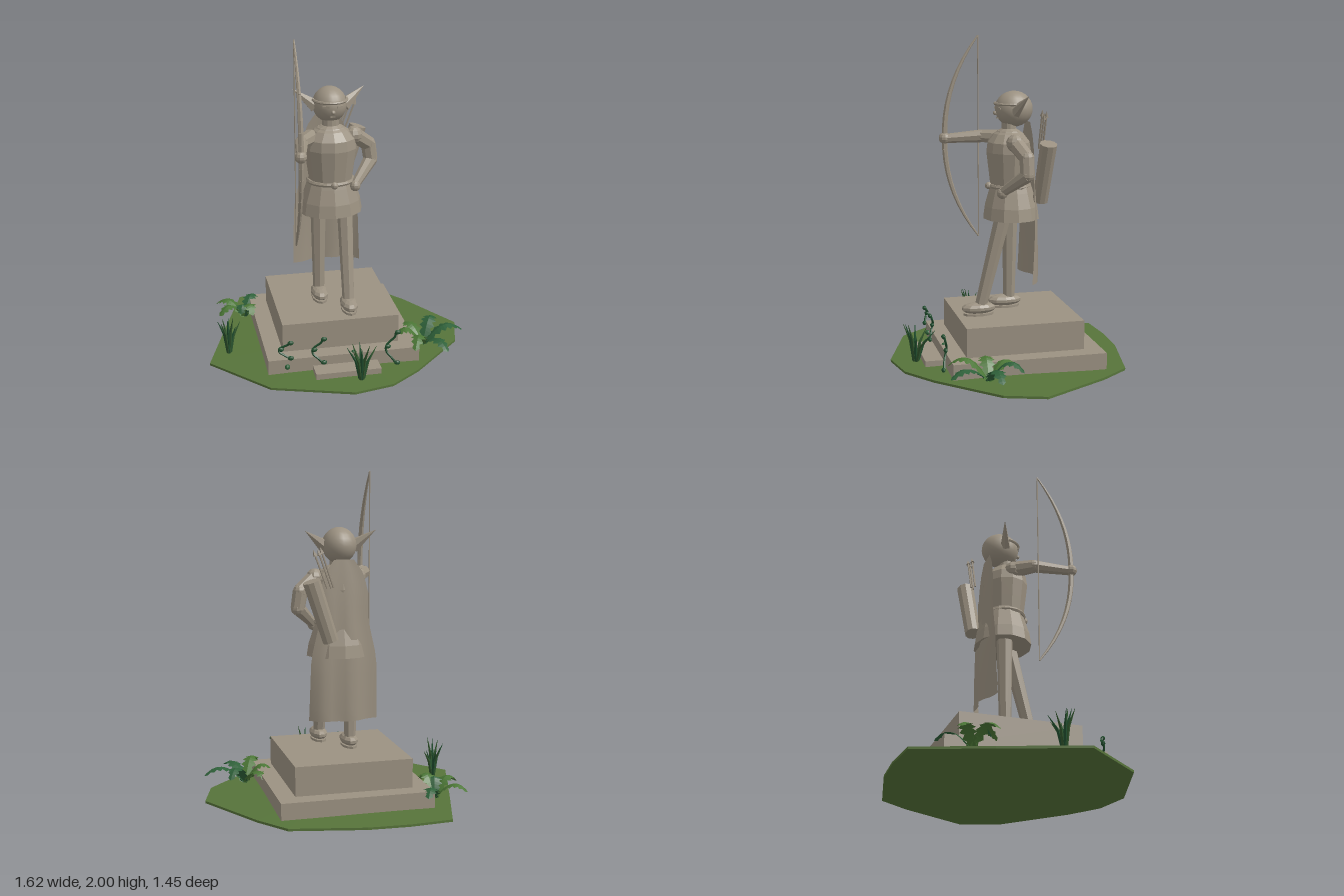
import * as THREE from 'three';

const V = (x, y, z) => new THREE.Vector3(x, y, z);

export function createModel() {
  const model = new THREE.Group();
  const mat = (name, color, o = {}) => Object.assign(new THREE.MeshStandardMaterial({ color, ...o }), { name });
  const stone = mat('stone', 0x9b9181, { flatShading: true });
  const smoothStone = stone.clone();
  Object.assign(smoothStone, { flatShading: false, side: THREE.DoubleSide, name: 'smooth stone' });
  const turf = mat('turf', 0x56733a, { flatShading: true });
  const leaf = mat('leaf green', 0x4a7535, { flatShading: true, side: THREE.DoubleSide });
  const darkLeaf = mat('dark leaf green', 0x2e6039, { flatShading: true, side: THREE.DoubleSide });
  const blade = mat('blade green', 0x31552d, { flatShading: true });
  const vineGreen = mat('vine green', 0x214f2f, { flatShading: true });

  const add = (name, geo, m, x = 0, y = 0, z = 0, parent = model) => {
    const mesh = new THREE.Mesh(geo, m);
    mesh.name = name;
    mesh.position.set(x, y, z);
    parent.add(mesh);
    return mesh;
  };
  const group = (name) => {
    const g = new THREE.Group();
    g.name = name;
    model.add(g);
    return g;
  };
  const ball = (name, r, m, x, y, z, parent) =>
    add(name, new THREE.SphereGeometry(r, 10, 7), m, x, y, z, parent);
  // Tapered chain of cylinders through points, with optional rounded joints
  const chain = (name, pts, radii, m, sides = 8, joints = true, parent = group(name)) => {
    for (let i = 0; i < pts.length - 1; i++) {
      const d = pts[i + 1].clone().sub(pts[i]);
      const c = add(name, new THREE.CylinderGeometry(radii[i + 1], radii[i], d.length(), sides), m, 0, 0, 0, parent);
      c.position.copy(pts[i]).addScaledVector(d, 0.5);
      c.quaternion.setFromUnitVectors(V(0, 1, 0), d.normalize());
      if (joints && i > 0) ball(name + 'Joint', radii[i] * 0.98, m, ...pts[i].toArray(), parent);
    }
    return parent;
  };
  const lathe = (name, profile, x, z, depth, sides = 12, m = stone) => {
    const g = new THREE.LatheGeometry(profile.map(([r, y]) => new THREE.Vector2(r, y)), sides);
    const mesh = add(name, g, m, x, 0, z);
    mesh.scale.z = depth;
    return mesh;
  };

  // Turf island
  const outline = [[-0.52, -0.71], [-0.26, -0.73], [-0.01, -0.72], [0.43, -0.63], [0.57, -0.45], [0.81, -0.04],
    [0.74, 0.2], [0.57, 0.37], [0.41, 0.53], [0.22, 0.67], [-0.02, 0.72], [-0.49, 0.57], [-0.81, 0.2], [-0.66, -0.28]];
  const tri = [];
  outline.forEach(([x, z], i) => {
    const [u, w] = outline[(i + 1) % outline.length];
    const ya = 0.046 + z * 0.012, yb = 0.046 + w * 0.012, t = 0.014;
    tri.push(0, 0.068, 0, u, yb, w, x, ya, z);
    tri.push(0, 0, 0, x, ya - t, z, u, yb - t, w);
    tri.push(x, ya, z, u, yb, w, u, yb - t, w, x, ya, z, u, yb - t, w, x, ya - t, z);
  });
  const turfGeo = new THREE.BufferGeometry();
  turfGeo.setAttribute('position', new THREE.Float32BufferAttribute(tri, 3));
  turfGeo.computeVertexNormals();
  add('turf', turfGeo, turf);

  // Stepped plinth
  add('plinthBase', new THREE.BoxGeometry(0.925, 0.1, 0.93), stone, -0.02, 0.095, -0.043);
  add('plinthTop', new THREE.BoxGeometry(0.715, 0.18, 0.72), stone, -0.022, 0.232, -0.04);
  add('frontStep', new THREE.BoxGeometry(0.395, 0.04, 0.11), stone, -0.018, 0.072, 0.485);

  // Legs and boots
  const cx = -0.018;
  chain('backLeg', [V(-0.09, 0.37, -0.04), V(-0.09, 0.95, -0.045)], [0.036, 0.05], stone, 7);
  chain('frontLeg', [V(0.055, 0.37, 0.175), V(0.06, 0.95, 0.03)], [0.037, 0.05], stone, 7);
  for (const [x, z] of [[-0.092, -0.012], [0.054, 0.187]]) {
    const boot = ball('boot', 1, stone, x, 0.365, z);
    boot.scale.set(0.054, 0.037, 0.108);
    add('sole', new THREE.CylinderGeometry(0.85, 0.85, 0.016, 10), stone, x, 0.328, z).scale.set(0.055, 1, 0.11);
  }

  // Tunic, belt and mantle
  const tunic = lathe('tunicSkirt', [[0.001, 0.93], [0.197, 0.905], [0.185, 0.98], [0.155, 1.07], [0.135, 1.125]], cx, -0.035, 0.88, 12, smoothStone);
  tunic.material = stone.clone();
  Object.assign(tunic.material, { side: THREE.DoubleSide, name: 'stone cloth' });
  lathe('torso', [[0.13, 1.09], [0.145, 1.2], [0.16, 1.31], [0.15, 1.37], [0.105, 1.42], [0.07, 1.44], [0.052, 1.45], [0.05, 1.5]], cx, -0.02, 0.86);
  const belt = add('belt', new THREE.TorusGeometry(0.136, 0.014, 6, 20), stone, cx, 1.105, -0.025);
  belt.rotation.x = Math.PI / 2;
  belt.scale.y = 0.87;
  ball('buckle', 0.022, stone, cx, 1.105, 0.105);
  const collar = add('collar', new THREE.CylinderGeometry(0.08, 0.125, 0.045, 12), stone, cx, 1.415, -0.02);
  collar.scale.z = 0.85;

  // Head with brow band, eyes, nose and pointed ears
  const skull = add('head', new THREE.SphereGeometry(0.105, 20, 14), smoothStone, cx, 1.568, -0.052);
  skull.scale.set(0.98, 1.03, 1.1);
  const brow = add('browBand', new THREE.TorusGeometry(0.102, 0.009, 6, 16, Math.PI), stone, cx, 1.6, -0.048);
  brow.rotation.x = Math.PI / 2;
  brow.scale.y = 1.08;
  ball('nose', 0.013, stone, cx, 1.545, 0.064);
  add('mouth', new THREE.BoxGeometry(0.03, 0.006, 0.012), stone, cx, 1.515, 0.048);
  for (const s of [-1, 1]) {
    add('eye', new THREE.BoxGeometry(0.04, 0.01, 0.014), stone, cx + s * 0.04, 1.575, 0.05).rotation.y = s * 0.4;
    const ear = chain('ear', [V(cx + s * 0.085, 1.56, -0.045), V(cx + s * 0.215, 1.658, -0.09)], [0.045, 0.001], stone, 6);
    ear.children[0].scale.z = 0.7;
  }

  // Arms with shoulders and hands
  ball('shoulder', 0.052, stone, -0.145, 1.375, -0.01);
  ball('shoulder', 0.055, stone, 0.125, 1.375, -0.025);
  chain('bowArm', [V(-0.14, 1.38, -0.01), V(-0.215, 1.385, 0.1), V(-0.256, 1.37, 0.325)], [0.05, 0.04, 0.028], stone);
  ball('bowHand', 0.036, stone, -0.258, 1.372, 0.328);
  chain('bentArm', [V(0.125, 1.375, -0.025), V(0.225, 1.3, -0.07), V(0.24, 1.2, -0.07), V(0.12, 1.085, 0.05)],
    [0.05, 0.046, 0.044, 0.028], stone);
  ball('restingHand', 0.034, stone, 0.118, 1.078, 0.052);

  // Bow and string
  const bowPts = [], bowR = [];
  for (let i = 0; i <= 18; i++) {
    const t = i / 9 - 1;
    bowPts.push(V(-0.256, 1.372 + t * 0.627, 0.115 + 0.213 * (1 - Math.pow(Math.abs(t), 2.2))));
    bowR.push(0.017 - 0.012 * t * t);
  }
  chain('bow', bowPts, bowR, stone, 6, false);
  chain('bowString', [bowPts[0], bowPts[18]], [0.004, 0.004], stone, 5);

  // Cape: a sheet narrowing to the neck, edges curling forward
  const cape = new THREE.PlaneGeometry(2, 1, 10, 14);
  const widths = [[0.52, 0.21], [0.9, 0.2], [1.12, 0.15], [1.3, 0.15], [1.42, 0.11], [1.49, 0.06]];
  const p = cape.attributes.position;
  for (let i = 0; i < p.count; i++) {
    const u = p.getX(i), v = p.getY(i) + 0.5, y = 0.52 + v * 0.97;
    const k = Math.max(0, widths.findIndex((w) => w[0] >= y - 1e-6) - 1);
    const [[y0, w0], [y1, w1]] = [widths[k], widths[k + 1]];
    const w = w0 + (w1 - w0) * (y - y0) / (y1 - y0);
    p.setXYZ(i, -0.025 + u * w, y, -0.185 + 0.045 * v * v + 0.06 * u * u * (1 - v) + 0.012 * Math.sin(u * 7) * (1 - v));
  }
  cape.computeVertexNormals();
  add('cape', cape, smoothStone);

  // Quiver and arrows
  chain('quiver', [V(0.07, 1.015, -0.195), V(0.19, 1.375, -0.212)], [0.048, 0.053], stone, 10);
  for (let i = 0; i < 3; i++) {
    const x = 0.05 + i * 0.02, z = -0.19 - (i % 2) * 0.02;
    const tip = V(x + 0.07, 1.535 - i * 0.008, z);
    chain('arrowShaft', [V(x, 1.33, z), tip], [0.006, 0.006], stone, 5);
    chain('arrowHead', [tip, V(x + 0.083, 1.57 - i * 0.008, z)], [0.014, 0.001], stone, 5);
  }

  // Arching fern frond with saw-tooth edges
  const frond = (x, z, dx, dz, h, m, parent) => {
    const L = Math.hypot(dx, dz), px = -dz / L, pz = dx / L, n = 14, pos = [], idx = [];
    for (let i = 0; i <= n; i++) {
      const t = i / n, y = 0.06 + h * Math.sin(t * 2.55);
      const w = i === n ? 0 : 0.05 * Math.pow(Math.sin(0.25 + t * 2.75), 0.7) * (i % 2 ? 1 : 0.55);
      for (const s of [-1, 0, 1]) pos.push(x + dx * t + px * w * s, y - Math.abs(s) * w * 0.3, z + dz * t + pz * w * s);
      if (i < n) for (const c of [0, 1]) {
        const a = i * 3 + c;
        idx.push(a, a + 1, a + 3, a + 1, a + 4, a + 3);
      }
    }
    const g = new THREE.BufferGeometry();
    g.setAttribute('position', new THREE.Float32BufferAttribute(pos, 3));
    g.setIndex(idx);
    g.computeVertexNormals();
    add('frond', g, m, 0, 0, 0, parent);
  };
  const ferns = [
    [0.52, 0.23, [[-0.1, -0.18], [-0.18, -0.01], [-0.11, 0.22], [0.09, 0.24], [0.26, -0.02], [0.12, -0.18]]],
    [-0.53, -0.37, [[-0.17, -0.11], [-0.17, 0.1], [0.04, 0.15], [0.1, -0.18], [-0.03, 0.1]]],
  ];
  for (const [x, z, tips] of ferns) {
    const g = group('fern');
    tips.forEach(([dx, dz], i) => frond(x, z, dx, dz, 0.1 + (i % 3) * 0.015, i < tips.length / 2 ? leaf : darkLeaf, g));
  }

  // Grass tufts
  for (const [x, z, s] of [[-0.68, 0.09, 0.85], [0.05, 0.58, 1.15]]) {
    const g = group('grassTuft');
    for (let i = 0; i < 8; i++) {
      const a = i * 2.4, r = s * (0.05 + (i % 3) * 0.028), h = 0.15 + (i * 5 % 8) * 0.011;
      const at = (k, y) => V(x + Math.cos(a) * r * k, y, z + Math.sin(a) * r * k);
      chain('blade', [at(0.1, 0.05), at(0.4, 0.06 + h * 0.6), at(1, 0.07 + h)], [0.01, 0.009, 0.001],
        i % 2 ? blade : vineGreen, 4, false, g);
    }
  }

  // Vines climbing the plinth front
  for (const [x, y0, y1] of [[-0.39, 0.17, 0.27], [-0.19, 0.12, 0.275], [0.26, 0.07, 0.275]]) {
    const g = group('vine'), pts = [];
    for (let i = 0; i <= 6; i++)
      pts.push(V(x + 0.03 * Math.sin(i * 1.05 + 2), y0 + (y1 - y0) * i / 6, 0.435 + 0.012 * Math.cos(i)));
    add('stem', new THREE.TubeGeometry(new THREE.CatmullRomCurve3(pts), 20, 0.007, 5), vineGreen, 0, 0, 0, g);
    for (const i of [0, 3, 6]) {
      const l = ball('vineLeaf', 0.017, vineGreen, pts[i].x + 0.01, pts[i].y, pts[i].z + 0.006, g);
      l.scale.set(1.1, 0.8, 0.7);
    }
  }
  ball('vineLeaf', 0.016, darkLeaf, -0.37, 0.1, 0.43);
  ball('vineLeaf', 0.016, darkLeaf, 0.04, 0.14, 0.4);
  return model;
}
